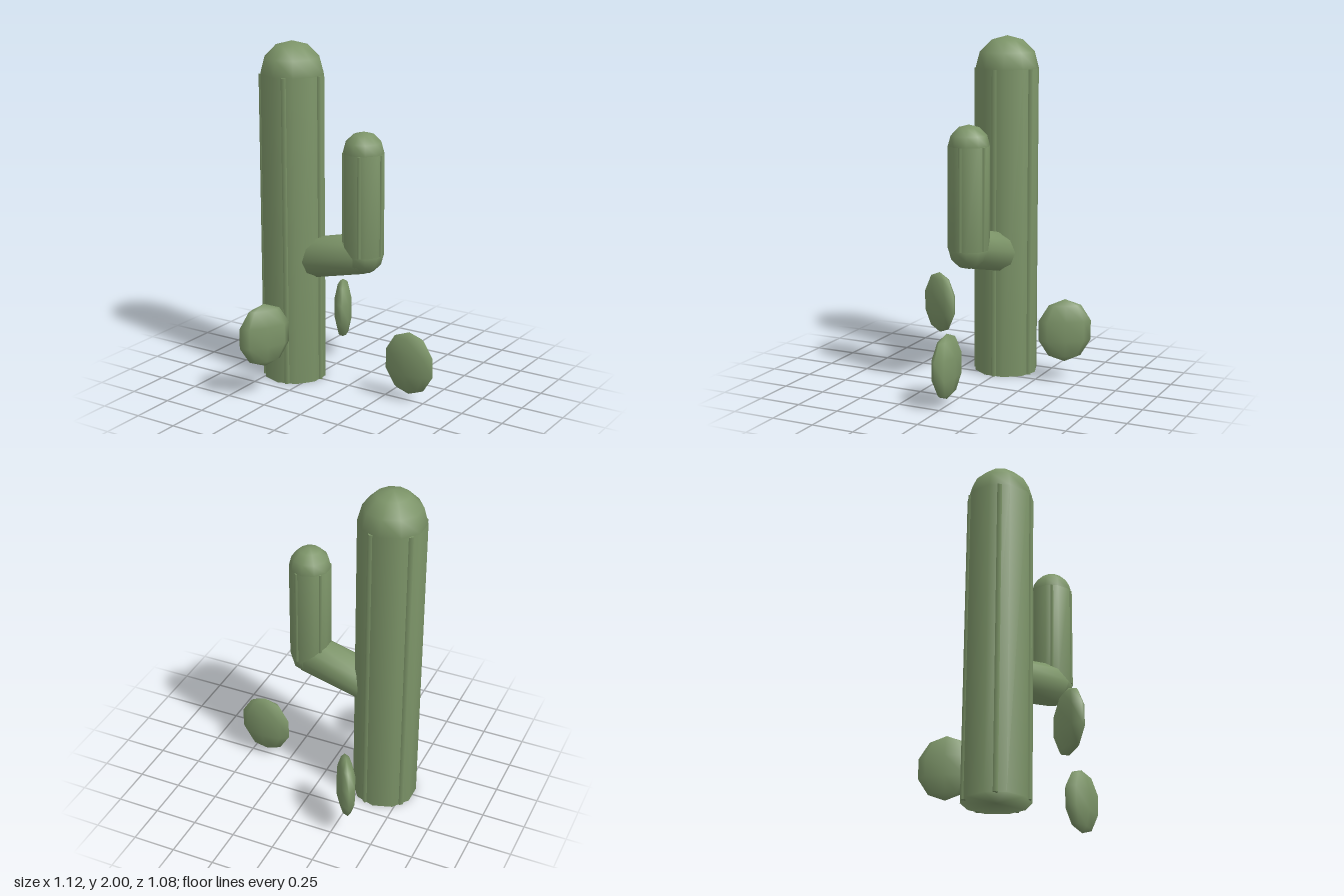
import * as THREE from 'three';
import { mergeVertices } from 'three/addons/utils/BufferGeometryUtils.js';

const SIDES = 10;

// Weld a geometry so its normals flow smoothly over every edge
function soften(geometry) {
  geometry.deleteAttribute('uv');
  geometry.deleteAttribute('normal');
  const welded = mergeVertices(geometry, 1e-4);
  welded.computeVertexNormals();
  return welded;
}

export function createModel() {
  const model = new THREE.Group();
  model.name = 'cactus';
  const green = new THREE.MeshStandardMaterial({ color: 0x7c9468 });
  green.name = 'cactus green';

  function add(parent, name, geometry, x, y, z) {
    const mesh = new THREE.Mesh(geometry, green);
    mesh.name = name;
    mesh.position.set(x, y, z);
    parent.add(mesh);
    return mesh;
  }

  // Upright stem: ten-sided column, domed top and five diamond-section ribs
  function addStem(name, x, z, bottom, top, radius) {
    const stem = new THREE.Group();
    stem.name = name;
    stem.position.set(x, 0, z);
    model.add(stem);
    const height = top - bottom;
    const middle = (top + bottom) / 2;

    add(stem, name + 'Column',
      soften(new THREE.CylinderGeometry(radius, radius, height, SIDES)), 0, middle, 0);

    const dome = new THREE.SphereGeometry(radius, SIDES, 3, 0, Math.PI * 2, 0, Math.PI / 2);
    dome.rotateY(Math.PI / 2);
    add(stem, name + 'Dome', dome, 0, top, 0);

    const ribRadius = radius * 0.096;
    const ribReach = radius * 0.935;
    for (let i = 0; i < 5; i++) {
      const a = (i * Math.PI * 2) / 5;
      add(stem, name + 'Rib', new THREE.CylinderGeometry(ribRadius, ribRadius, height, 4),
        Math.cos(a) * ribReach, middle, Math.sin(a) * ribReach);
    }
  }

  addStem('trunk', -0.38, 0, 0, 1.812, 0.188);
  addStem('arm', 0.105, 0.01, 0.83, 1.415, 0.119);

  // Sloping branch from inside the trunk to the elbow
  const start = new THREE.Vector3(-0.32, 0.73, -0.002);
  const elbow = new THREE.Vector3(0.105, 0.832, 0.01);
  const along = elbow.clone().sub(start);
  const branch = add(model, 'branch',
    soften(new THREE.CylinderGeometry(0.118, 0.118, along.length(), SIDES)),
    ...start.clone().add(elbow).multiplyScalar(0.5).toArray());
  branch.quaternion.setFromUnitVectors(new THREE.Vector3(0, 1, 0), along.normalize());

  // Rounded elbow joining branch and arm
  const ball = new THREE.SphereGeometry(0.118, SIDES, 6);
  ball.rotateY(Math.PI / 2);
  add(model, 'elbow', ball, elbow.x, elbow.y, elbow.z);

  // Three flat oval pads spaced evenly around the plant, each a little higher
  [0.226, 0.382, 0.304].forEach((y, i) => {
    const a = (i * Math.PI * 2) / 3;
    const pad = add(model, 'pad', new THREE.SphereGeometry(1, 8, 5),
      -0.068 + Math.cos(a) * 0.473, y, Math.sin(a) * 0.473);
    pad.scale.set(0.161, 0.187, 0.056);
    pad.rotation.y = -a;
  });

  return model;
}
